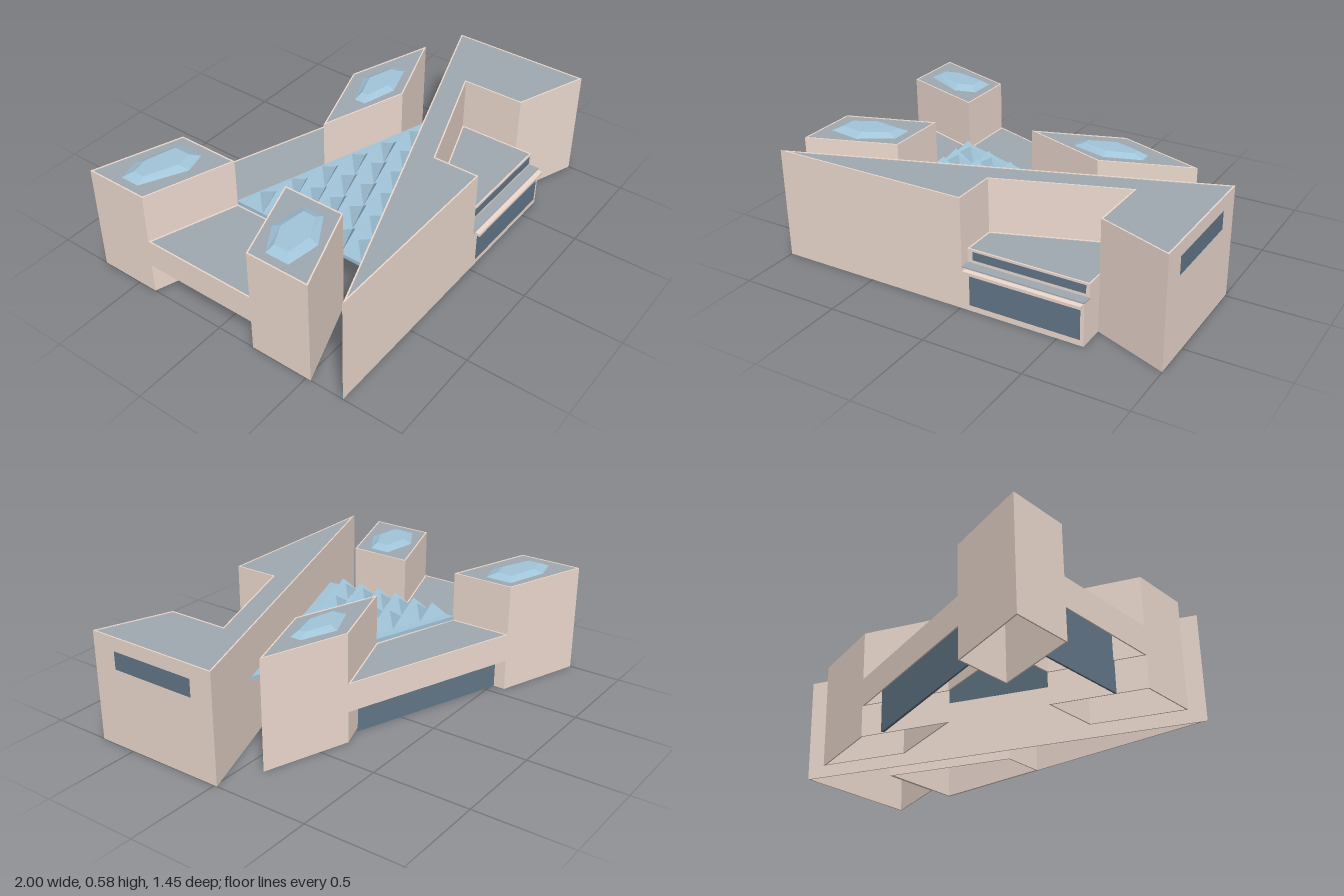
import * as THREE from 'three';

const mat = (color) => new THREE.MeshStandardMaterial({ color, flatShading: true, side: THREE.DoubleSide });
const H = 0.56, WING = 0.305, SOFFIT = 0.16, WALL = 0.007;

// Mitred inward offset of a plan outline
function inset(pts, t) {
  const n = pts.length;
  const area = pts.reduce((s, [x, z], i) => s + x * pts[(i + 1) % n][1] - pts[(i + 1) % n][0] * z, 0);
  const normal = (a, b) => {
    const l = Math.hypot(b[0] - a[0], b[1] - a[1]) * Math.sign(area);
    return [-(b[1] - a[1]) / l, (b[0] - a[0]) / l];
  };
  return pts.map((p, i) => {
    const m = normal(pts[(i + n - 1) % n], p), k = normal(p, pts[(i + 1) % n]);
    const s = t / (1 + m[0] * k[0] + m[1] * k[1]);
    return [p[0] + (m[0] + k[0]) * s, p[1] + (m[1] + k[1]) * s];
  });
}

export function createModel() {
  const group = new THREE.Group();
  const stone = mat(0xeedbd0), roofing = mat(0x9fa9b0), glass = mat(0x637789), skylight = mat(0xa2c5da);

  const add = (name, geo, material) => {
    const mesh = new THREE.Mesh(geo, material);
    mesh.name = name;
    group.add(mesh);
  };
  // Upright prism over a plan outline of [x, z] points, optionally hollow
  const plan = (pts) => pts.map(([x, z]) => new THREE.Vector2(x, -z));
  const prism = (name, pts, y0, y1, material, hole) => {
    const shape = new THREE.Shape(plan(pts));
    if (hole) shape.holes.push(new THREE.Path(plan(hole)));
    const geo = new THREE.ExtrudeGeometry(shape, { depth: y1 - y0, bevelEnabled: false });
    add(name, geo.rotateX(-Math.PI / 2).translate(0, y0, 0), material);
  };
  // Hollow walls, open below, with a roof set just inside the parapet
  const block = (name, pts, y0, y1) => {
    const inner = inset(pts, WALL);
    prism(name + 'Walls', pts, y0, y1, stone, inner);
    prism(name + 'Roof', inner, y1 - 0.008, y1 - 0.003, roofing);
  };
  const box = (name, x0, x1, y0, y1, z0, z1, material) => add(name,
    new THREE.BoxGeometry(x1 - x0, y1 - y0, z1 - z0).translate((x0 + x1) / 2, (y0 + y1) / 2, (z0 + z1) / 2), material);
  // Non-indexed triangles with flat normals
  const facets = (name, pos) => {
    const geo = new THREE.BufferGeometry();
    geo.setAttribute('position', new THREE.Float32BufferAttribute(pos, 3));
    geo.computeVertexNormals();
    add(name, geo, skylight);
  };

  // Faceted roof light: outline at the base, smaller outline on top
  const roofLight = (name, pts) => {
    const n = pts.length, pos = [], y = H + 0.017;
    const cx = pts.reduce((s, p) => s + p[0], 0) / n, cz = pts.reduce((s, p) => s + p[1], 0) / n;
    const low = pts.map(([x, z]) => [x, H - 0.004, z]);
    const top = pts.map(([x, z]) => [cx + (x - cx) * 0.72, y, cz + (z - cz) * 0.6]);
    for (let i = 0; i < n; i++) {
      const j = (i + 1) % n;
      pos.push(...low[i], ...top[j], ...low[j], ...low[i], ...top[i], ...top[j], cx, y, cz, ...top[j], ...top[i]);
    }
    facets(name, pos);
  };

  // Three corner towers
  block('backTower', [[-1, -0.725], [-0.56, -0.57], [-0.56, -0.25], [-1, -0.40]], 0, H);
  block('frontTower', [[-1, 0.20], [-0.56, 0.05], [-0.56, 0.37], [-1, 0.525]], 0, H);
  block('sideTower', [[0.35, -0.25], [0.785, -0.10], [0.35, 0.052], [-0.09, -0.10]], 0, H);
  roofLight('backTowerSkylight', [[-0.95, -0.58], [-0.83, -0.61], [-0.615, -0.54], [-0.615, -0.40], [-0.73, -0.37], [-0.95, -0.48]]);
  roofLight('frontTowerSkylight', [[-0.95, 0.26], [-0.80, 0.17], [-0.615, 0.20], [-0.615, 0.31], [-0.78, 0.41], [-0.95, 0.385]]);
  roofLight('sideTowerSkylight', [[0.17, -0.11], [0.35, -0.19], [0.53, -0.12], [0.53, -0.06], [0.35, 0], [0.17, -0.05]]);

  // Low wings bridging the towers, with recessed glazing beneath
  block('backWing', [[-0.56, -0.57], [0.35, -0.25], [-0.09, -0.10], [-0.56, -0.25]], SOFFIT, WING);
  block('leftWing', [[-1, -0.40], [-0.56, -0.25], [-0.56, 0.05], [-1, 0.20]], SOFFIT, WING);
  prism('backGlazing', [[-0.56, -0.51], [0.24, -0.225], [0.225, -0.215], [-0.56, -0.50]], 0, WING - 0.008, glass);
  prism('leftGlazing', [[-0.86, -0.355], [-0.85, -0.35], [-0.85, 0.15], [-0.86, 0.155]], 0, WING - 0.008, glass);

  // Long triangular block with a notch in its front
  block('mainBlock', [[-1, 0.698], [0.012, 0.698], [0.012, 0.467], [0.63, 0.245], [0.63, 0.56], [1, 0.698], [1, -0.015]], 0, H);
  box('sideWindow', 0.99, 1.001, 0.40, 0.49, 0.11, 0.57, glass);

  // Entrance bay: set-back upper band over a glazed front, hollow below
  block('bayUpper', [[0.012, 0.467], [0.63, 0.245], [0.63, 0.648], [0.012, 0.648]], 0.215, 0.288);
  box('bayStripWindow', 0.04, 0.612, 0.235, 0.277, 0.64, 0.65, glass);
  box('bayFront', 0.012, 0.63, 0, 0.215, 0.685, 0.698, stone);
  box('bayShelf', 0.012, 0.63, 0.215, 0.22, 0.64, 0.698, roofing);
  box('baySideWall', 0.62, 0.63, 0, 0.215, 0.25, 0.685, stone);
  box('bayWindow', 0.05, 0.612, 0.03, 0.193, 0.69, 0.7, glass);
  box('bayLedge', 0.03, 0.625, 0.197, 0.212, 0.69, 0.723, stone);

  // Glazed atrium roof: flat triangle carrying a triangular grid of pyramids
  const deck = 0.325, apex = 0.395, N = 6;
  prism('atriumRoof', [[-0.56, -0.255], [0.58, 0.13], [-0.56, 0.54]], 0.305, deck, skylight);
  const node = (i, j) => [-0.56 + i * 0.97 / N, deck, -0.21 + (j + i / 2) * 0.68 / N];
  const pos = [];
  const pyramid = (...c) => {
    const tip = [0, 2].map((k) => (c[0][k] + c[1][k] + c[2][k]) / 3);
    for (let k = 0; k < 3; k++) pos.push(...c[k], ...c[(k + 1) % 3], tip[0], apex, tip[1]);
  };
  for (let i = 0; i < N; i++) {
    for (let j = 0; j < N - i; j++) {
      pyramid(node(i, j), node(i, j + 1), node(i + 1, j));
      if (j < N - i - 1) pyramid(node(i, j + 1), node(i + 1, j + 1), node(i + 1, j));
    }
  }
  facets('atriumPyramids', pos);

  return group;
}
